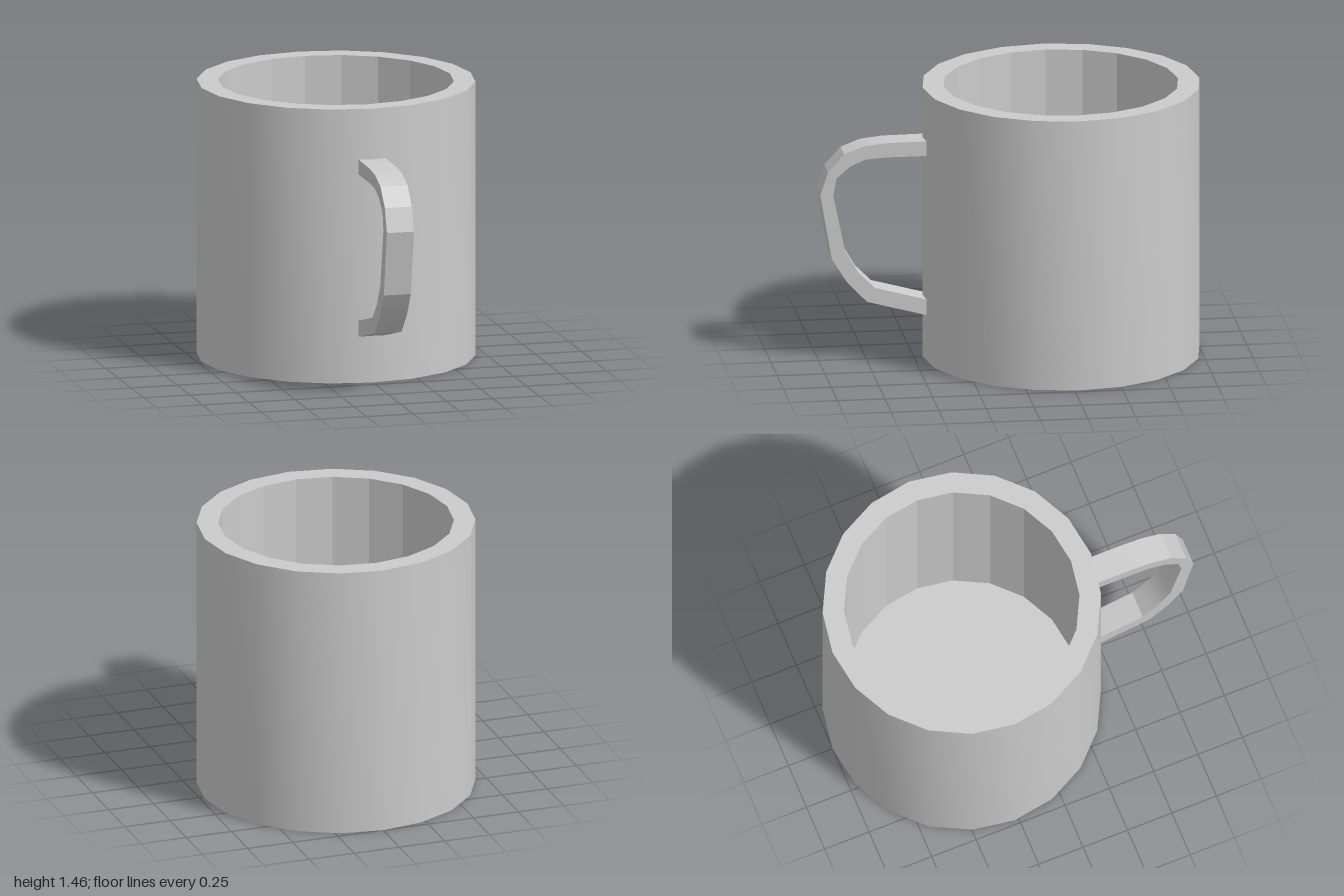
import * as THREE from 'three';
import { toCreasedNormals } from 'three/addons/utils/BufferGeometryUtils.js';

const SIDES = 20, OUTER = 0.727, INNER = 0.615, HEIGHT = 1.46, FLOOR = 0.12;
const CENTRE_Z = -0.274, HANDLE_WIDTH = 0.146;

const points = (list) => list.map(([a, b]) => new THREE.Vector2(a, b));

function addMesh(parent, name, geometry, flatShading = false) {
  const material = new THREE.MeshStandardMaterial({ color: 0xcccccc, flatShading });
  const mesh = new THREE.Mesh(geometry, material);
  mesh.name = name;
  parent.add(mesh);
  return mesh;
}

export function createModel() {
  const mug = new THREE.Group();
  mug.name = 'mug';

  // Cup: smooth outside with base and rim, faceted inside with floor
  const cup = new THREE.Group();
  cup.name = 'cup';
  cup.position.z = CENTRE_Z;
  mug.add(cup);
  const outside = new THREE.LatheGeometry(points([[0, 0], [OUTER, 0], [OUTER, HEIGHT], [INNER, HEIGHT]]), SIDES);
  addMesh(cup, 'outerWall', toCreasedNormals(outside, 0.5));
  const inside = new THREE.LatheGeometry(points([[INNER, HEIGHT], [INNER, FLOOR], [0, FLOOR]]), SIDES);
  addMesh(cup, 'innerWall', inside, true);

  // Handle: side outline as (z, y), ends sunk into the wall
  const outline = new THREE.Shape(points([
    [0.4, 0.235], [0.755, 0.33], [0.86, 0.44], [0.94, 0.57], [1.0, 0.915],
    [0.96, 1.04], [0.875, 1.135], [0.77, 1.175], [0.66, 1.187], [0.4, 1.19],
    [0.4, 1.11], [0.65, 1.11], [0.76, 1.103], [0.84, 1.07], [0.915, 1.005],
    [0.932, 0.915], [0.87, 0.61], [0.8, 0.49], [0.715, 0.405], [0.4, 0.32],
  ]));
  const handle = new THREE.ExtrudeGeometry(outline, { depth: HANDLE_WIDTH, bevelEnabled: false });
  handle.translate(0, 0, -HANDLE_WIDTH / 2).rotateY(-Math.PI / 2);
  addMesh(mug, 'handle', toCreasedNormals(handle, 0.35));

  return mug;
}
